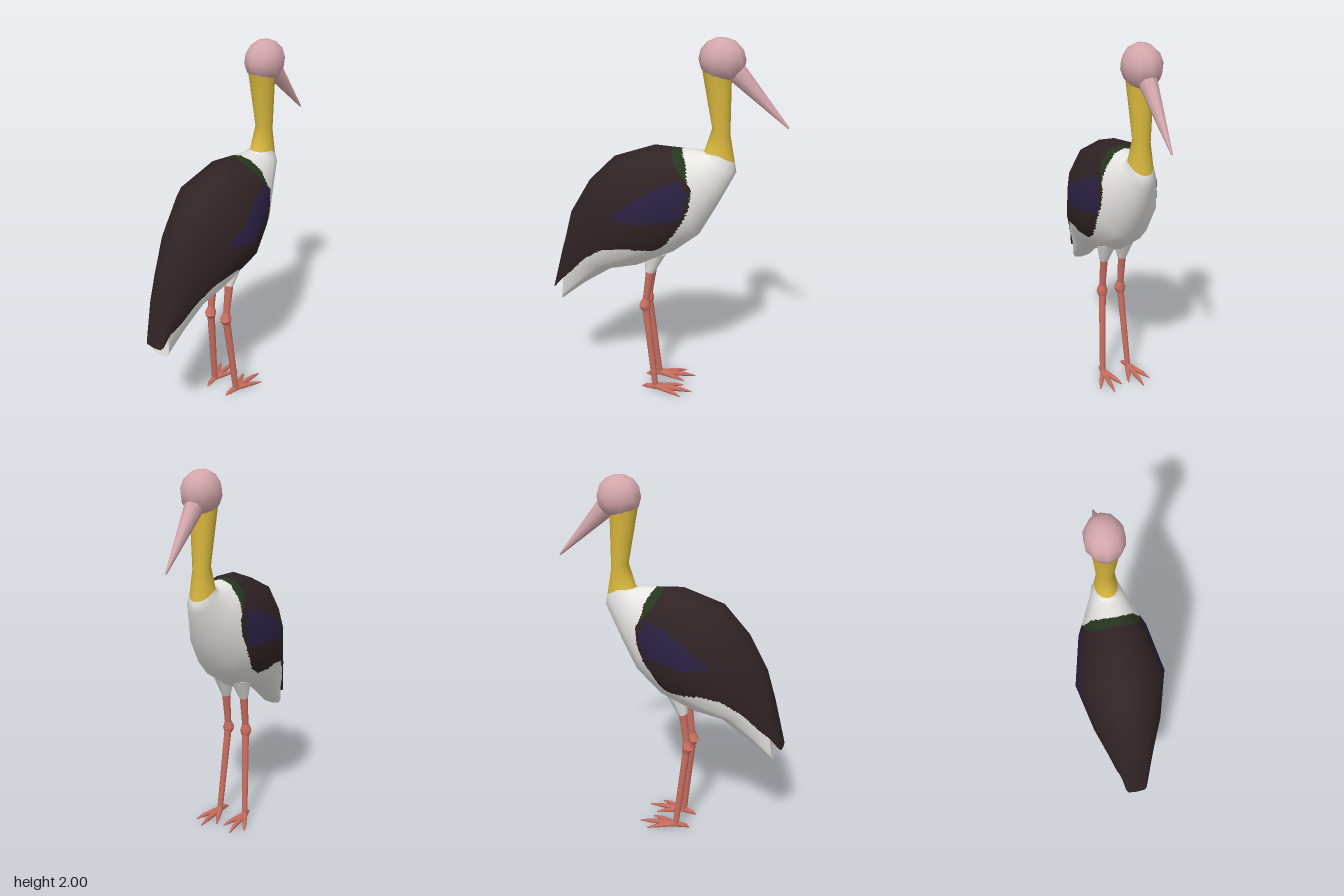
import * as THREE from 'three';

const mat = (name, color) => {
  const m = new THREE.MeshStandardMaterial({ color });
  m.name = name;
  return m;
};

// Is (x, y) inside the polygon?
function inside(poly, x, y) {
  let hit = false;
  for (let i = 0, j = poly.length - 1; i < poly.length; j = i++) {
    const [ax, ay] = poly[i], [bx, by] = poly[j];
    if ((ay > y) !== (by > y) && x < ((bx - ax) * (y - ay)) / (by - ay) + ax) hit = !hit;
  }
  return hit;
}

// One cross-section: top point, bottom point, widest point, half width, roundness
function ringPoints([tx, ty, bx, by, sx, sy, w, p = 1], n) {
  const pts = [];
  for (let j = 0; j < n; j++) {
    const t = (j / n) * Math.PI * 2, c = Math.cos(t), s = Math.sin(t);
    const k = Math.abs(c) < 1e-6 ? 0 : Math.abs(c) ** p;
    const z = Math.abs(s) < 1e-6 ? 0 : Math.sign(s) * Math.abs(s) ** p;
    const [ex, ey] = c > 0 ? [tx, ty] : [bx, by];
    pts.push(new THREE.Vector3(sx + (ex - sx) * k, sy + (ey - sy) * k, w * z));
  }
  return pts;
}

// Skin the sections, then split each panel finely so that pick(x, y, row) can colour it
function loft(rings, n, sub, pick, count) {
  const pts = rings.flatMap((r) => ringPoints(r, n));
  const at = (i, j) => i * n + (j % n);
  const coarse = new THREE.BufferGeometry().setFromPoints(pts);
  const idx = [];
  for (let i = 0; i < rings.length - 1; i++)
    for (let j = 0; j < n; j++) {
      const a = at(i, j), b = at(i + 1, j), c = at(i, j + 1), d = at(i + 1, j + 1);
      idx.push(a, b, c, b, d, c);
    }
  coarse.setIndex(idx);
  coarse.computeVertexNormals();
  const norms = pts.map((_, i) => new THREE.Vector3().fromBufferAttribute(coarse.attributes.normal, i));
  const mix = (l, q, u, v) =>
    l[q[0]].clone().lerp(l[q[1]], u).lerp(l[q[2]].clone().lerp(l[q[3]], u), v);
  const bins = Array.from({ length: count }, () => ({ p: [], n: [] }));
  for (let i = 0; i < rings.length - 1; i++)
    for (let j = 0; j < n; j++) {
      const q = [at(i, j), at(i + 1, j), at(i, j + 1), at(i + 1, j + 1)];
      for (let a = 0; a < sub; a++)
        for (let b = 0; b < sub; b++) {
          for (const tri of [[[0, 0], [1, 0], [0, 1]], [[1, 0], [1, 1], [0, 1]]]) {
            const uv = tri.map(([u, v]) => [(a + u) / sub, (b + v) / sub]);
            const P = uv.map(([u, v]) => mix(pts, q, u, v));
            const x = (P[0].x + P[1].x + P[2].x) / 3, y = (P[0].y + P[1].y + P[2].y) / 3;
            const bin = bins[pick(x, y, i)];
            P.forEach((o) => bin.p.push(o.x, o.y, o.z));
            uv.forEach(([u, v]) => bin.n.push(...mix(norms, q, u, v).normalize().toArray()));
          }
        }
    }
  const geo = new THREE.BufferGeometry();
  geo.setAttribute('position', new THREE.Float32BufferAttribute(bins.flatMap((b) => b.p), 3));
  geo.setAttribute('normal', new THREE.Float32BufferAttribute(bins.flatMap((b) => b.n), 3));
  let start = 0;
  bins.forEach((b, k) => {
    geo.addGroup(start, b.p.length / 3, k);
    start += b.p.length / 3;
  });
  return geo;
}

// Plumage regions in side outline
const WING = [[0.08, 1.5], [0.085, 1.42], [0.115, 1.36], [0.125, 1.29], [0.15, 1.23], [0.14, 1.14], [0.1, 1.05],
  [0.02, 0.93], [-0.05, 0.89], [-0.2, 0.9], [-0.33, 0.88], [-0.43, 0.81], [-0.575, 0.655], [-0.66, 0.52], [-0.8, 0.52], [-0.8, 1.5]];
const BLUE = [[-0.27, 1.07], [-0.15, 1.18], [0, 1.26], [0.1, 1.28], [0.125, 1.2], [0.1, 1.08], [-0.1, 1.06]];
const GREEN = [[0.03, 1.5], [0.035, 1.42], [0.05, 1.37], [0.09, 1.31], [0.125, 1.28], [0.2, 1.35], [0.2, 1.5]];

function plumage(x, y, row) {
  if (row < 2) return 1;
  if (!inside(WING, x, y)) return 0;
  if (inside(BLUE, x, y)) return 3;
  return inside(GREEN, x, y) ? 4 : 2;
}

export function createModel() {
  const model = new THREE.Group();
  model.name = 'wadingBird';
  const white = mat('white', 0xe8e7e4), yellow = mat('yellow', 0xd4b43c), dark = mat('darkBrown', 0x2f2324);
  const blue = mat('deepBlue', 0x2b2143), green = mat('darkGreen', 0x27361f);
  const pink = mat('palePink', 0xd2a6ab), coral = mat('coral', 0xc96e60);
  const feathers = [white, yellow, dark, blue, green];
  const add = (parent, name, geo, m) => {
    const mesh = new THREE.Mesh(geo, m);
    mesh.name = name;
    parent.add(mesh);
    return mesh;
  };

  // Neck and body, from the head down to the tail
  const tail = [-0.638, 0.585, -0.59, 0.515, -0.575, 0.655, 0.062, 0.4];
  const body = [
    [0.18, 1.85, 0.335, 1.82, 0.26, 1.84, 0.07],
    [0.24, 1.53, 0.335, 1.5, 0.29, 1.52, 0.046],
    [0.2, 1.405, 0.362, 1.355, 0.28, 1.4, 0.062],
    [0.17, 1.41, 0.372, 1.3, 0.27, 1.36, 0.08],
    [0.08, 1.42, 0.28, 1.12, 0.21, 1.29, 0.118],
    [-0.06, 1.432, 0.18, 0.94, 0.1, 1.22, 0.18],
    [-0.28, 1.36, 0.04, 0.83, -0.12, 1.08, 0.24],
    [-0.42, 1.22, -0.13, 0.75, -0.33, 0.92, 0.182],
    [-0.53, 1.03, -0.29, 0.72, -0.45, 0.8, 0.128],
    [-0.575, 0.85, -0.45, 0.62, -0.53, 0.72, 0.095, 0.75],
    tail,
  ];
  add(model, 'body', loft(body, 12, 12, plumage, 5), feathers);
  const notch = [-0.575, 0.655, -0.575, 0.655, -0.575, 0.655, 0];
  add(model, 'tailEnd', loft([tail, notch], 12, 4, (x, y) => plumage(x, y, 9), 5), feathers);

  // Head and bill
  const head = add(model, 'head', new THREE.SphereGeometry(1, 10, 7), pink);
  head.scale.set(0.122, 0.112, 0.102);
  head.position.set(0.285, 1.888, 0);
  head.rotation.z = -0.2;
  const bill = [
    [0.637, 1.548, 0.63, 1.541, 0.634, 1.545, 0.004],
    [0.408, 1.85, 0.335, 1.775, 0.37, 1.812, 0.045],
    [0.34, 1.9, 0.27, 1.81, 0.3, 1.86, 0.05],
  ];
  add(model, 'bill', loft(bill, 8, 1, () => 0, 1), [pink]);

  // Tapered segments through points [x, y, z, radius]
  const chain = (parent, name, pts, m, sides) => {
    for (let i = 0; i < pts.length - 1; i++) {
      const a = new THREE.Vector3(...pts[i]), b = new THREE.Vector3(...pts[i + 1]);
      const dir = b.clone().sub(a);
      const mesh = add(parent, name, new THREE.CylinderGeometry(pts[i + 1][3], pts[i][3], dir.length(), sides), m);
      mesh.position.copy(a).add(b).multiplyScalar(0.5);
      mesh.quaternion.setFromUnitVectors(new THREE.Vector3(0, 1, 0), dir.normalize());
    }
  };

  // Legs and feet
  for (const s of [1, -1]) {
    const leg = new THREE.Group();
    leg.name = s > 0 ? 'leftLeg' : 'rightLeg';
    const z = 0.055 * s, f = 0.08 * s;
    chain(leg, 'thigh', [[-0.05, 0.85, z * 0.95, 0.062], [-0.085, 0.722, z, 0.026]], white, 8);
    chain(leg, 'shank', [[-0.08, 0.74, z, 0.024], [-0.105, 0.555, z, 0.019], [-0.112, 0.515, z, 0.033],
      [-0.105, 0.485, z * 1.03, 0.021], [-0.052, 0.02, f, 0.017]], coral, 8);
    const toes = [[0.16, 0.01], [0.1, 0.072], [0.1, -0.058], [-0.13, -0.012]];
    for (const [x, dz] of toes) {
      const mid = (t) => [-0.05 + (x + 0.05) * t, f + dz * s * t];
      const [mx, mz] = mid(0.7), [ex, ez] = mid(1);
      chain(leg, 'toe', [[-0.05, 0.018, f, 0.018], [mx, 0.012, mz, 0.012], [ex, 0.004, ez, 0.003]], coral, 6);
    }
    model.add(leg);
  }
  return model;
}
